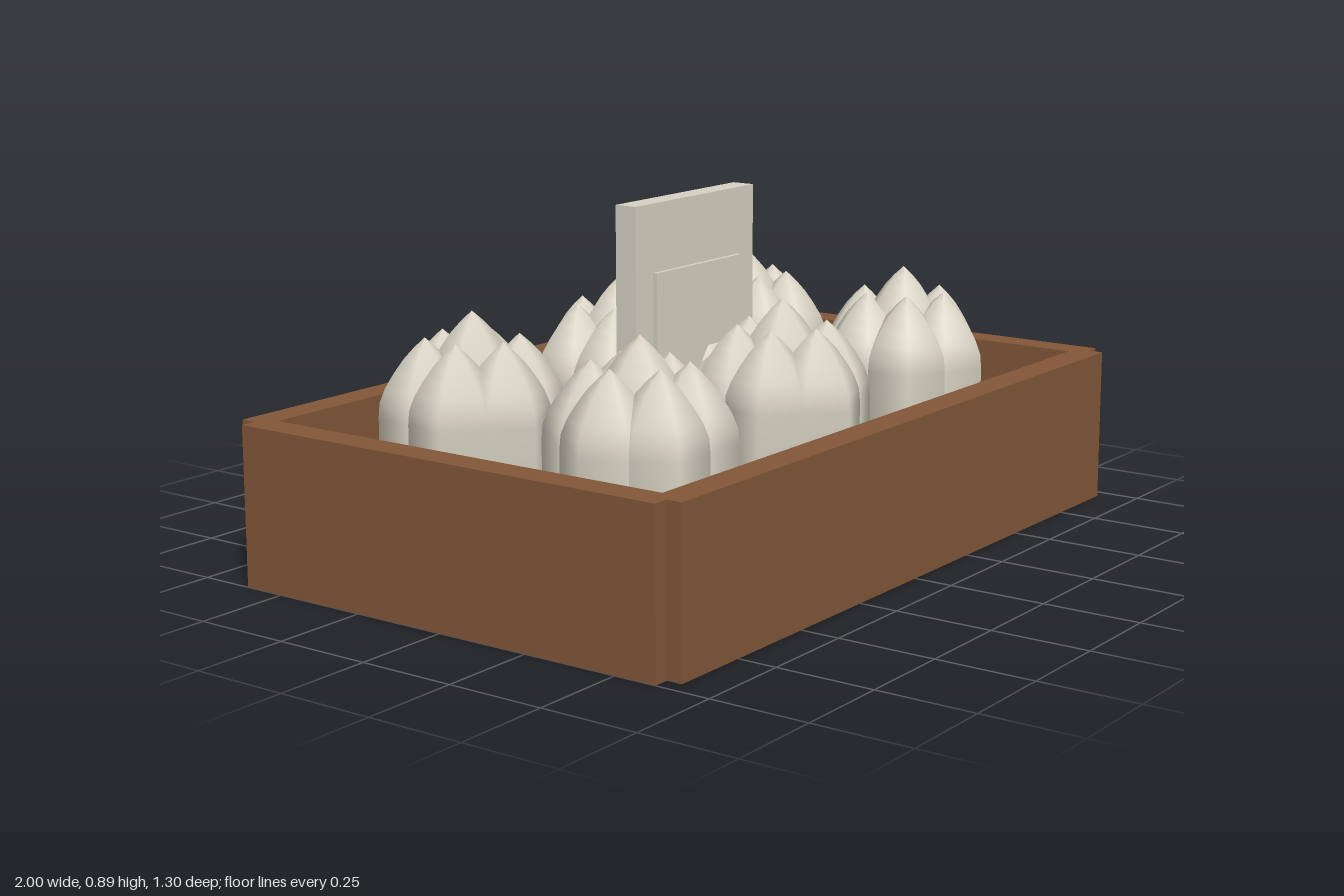
import * as THREE from 'three';

const wood = new THREE.MeshStandardMaterial({ name: 'brown wood', color: 0x835738 });
const cream = new THREE.MeshStandardMaterial({ name: 'cream bud', color: 0xd8d3c4 });
const stone = new THREE.MeshStandardMaterial({ name: 'pale sign', color: 0xd6d2c3 });

function box(parent, name, mat, [x0, x1], [y0, y1], [z0, z1]) {
  const mesh = new THREE.Mesh(new THREE.BoxGeometry(x1 - x0, y1 - y0, z1 - z0), mat);
  mesh.position.set((x0 + x1) / 2, (y0 + y1) / 2, (z0 + z1) / 2);
  mesh.name = name;
  parent.add(mesh);
}

// Six-sided pointed bud with smooth normals; its tip is at y = 0
const R = 0.115;
const budProfile = [
  [0, -0.55], [0.1, -0.55], [0.111, -0.42], [R, -0.3], [R, -0.19], [0.112, -0.155],
  [0.098, -0.12], [0.078, -0.087], [0.053, -0.052], [0.027, -0.024], [0, 0],
].map(([r, y]) => new THREE.Vector2(r, y));
const budGeometry = new THREE.LatheGeometry(budProfile, 6, Math.PI / 2);

// A plant is one tall bud in a ring of six shorter ones
function plant(x, z, degrees, drop = 0) {
  const group = new THREE.Group();
  group.name = 'plant';
  const add = (name, px, py, pz) => {
    const bud = new THREE.Mesh(budGeometry, cream);
    bud.name = name;
    bud.position.set(px, py, pz);
    // keep the foot of every bud inside the floor
    bud.scale.y = 1 - (drop ? 0.12 : 0);
    group.add(bud);
  };
  add('centreBud', 0, 0.65, 0);
  for (let i = 0; i < 6; i++) {
    const a = (i * Math.PI) / 3;
    add('outerBud', R * Math.cos(a), 0.59, R * Math.sin(a));
  }
  group.position.set(x, -drop, z);
  group.rotation.y = -THREE.MathUtils.degToRad(degrees);
  return group;
}

export function createModel() {
  const model = new THREE.Group();
  model.name = 'planterBox';

  // Wooden tray with notched corners
  box(model, 'floor', wood, [-0.94, 0.94], [0, 0.06], [-0.59, 0.59]);
  for (const s of [-1, 1]) {
    const span = (a, b) => (s > 0 ? [a, b] : [-b, -a]);
    box(model, 'endBoard', wood, span(0.92, 1), [0, 0.4], [-0.61, 0.61]);
    box(model, 'longBoard', wood, [-0.96, 0.96], [0, 0.4], span(0.57, 0.65));
  }

  // Two rows of plants and a lower one in the middle
  const plants = [
    [-0.575, 0.25, 0], [0, 0.255, 40], [0.575, 0.255, 25],
    [-0.575, -0.255, 40], [0, -0.255, 28], [0.575, -0.255, 7], [0, 0, 0, 0.08],
  ];
  for (const p of plants) model.add(plant(...p));

  // Upright sign with a raised panel
  box(model, 'signBoard', stone, [-0.315, 0.18], [0.002, 0.895], [-0.018, 0.042]);
  box(model, 'signPanel', stone, [-0.245, 0.11], [0.2, 0.725], [0.042, 0.054]);

  // Small flattened beads resting on the plants
  const beadGeometry = new THREE.SphereGeometry(0.028, 12, 8);
  for (const [x, y, z, tilt] of [[0.165, 0.485, -0.003, 0], [0.08, 0.545, -0.14, 0.35]]) {
    const bead = new THREE.Mesh(beadGeometry, cream);
    bead.name = 'bead';
    bead.scale.y = 0.45;
    bead.position.set(x, y, z);
    bead.rotation.x = tilt;
    model.add(bead);
  }
  return model;
}
